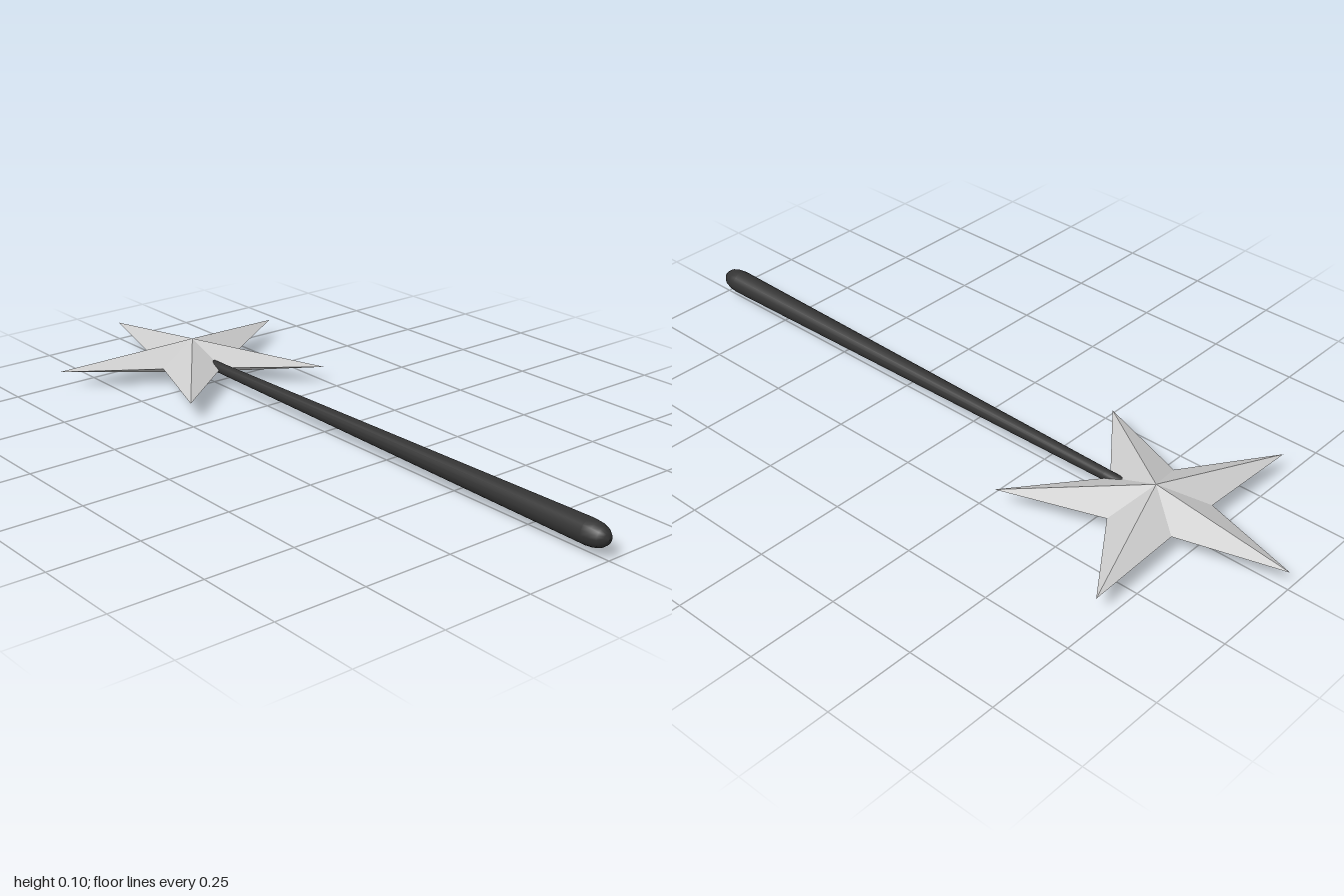
import * as THREE from 'three';

const MID_Y = 0.053;

// Faceted five-pointed star: a flat outline joined to an apex above and below
function starGeometry(points, outer, inner, halfHeight) {
  const n = points * 2;
  const rim = (i) => {
    const a = Math.PI + (i * Math.PI) / points;
    const r = i % 2 === 0 ? outer : inner;
    return [r * Math.cos(a), 0, -r * Math.sin(a)];
  };
  const positions = [];
  for (let i = 0; i < n; i++) {
    const a = rim(i), b = rim((i + 1) % n);
    positions.push(0, halfHeight, 0, ...a, ...b);
    positions.push(0, -halfHeight, 0, ...b, ...a);
  }
  const geometry = new THREE.BufferGeometry();
  geometry.setAttribute('position', new THREE.Float32BufferAttribute(positions, 3));
  geometry.computeVertexNormals();
  return geometry;
}

export function createModel() {
  const group = new THREE.Group();
  group.name = 'starWand';

  // Star head, one tip pointing away from the handle
  const star = new THREE.Mesh(
    starGeometry(5, 0.395, 0.14, 0.052),
    new THREE.MeshStandardMaterial({ color: 0xcccccc, flatShading: true })
  );
  star.name = 'star';
  star.position.set(-0.605, MID_Y, 0);
  group.add(star);

  // Tapered handle with a rounded thick end, starting inside the star
  const profile = [
    [0, -0.54], [0.014, -0.535], [0.015, -0.45], [0.033, 0.94],
    [0.031, 0.962], [0.025, 0.982], [0.015, 0.995], [0, 1.0],
  ].map(([r, x]) => new THREE.Vector2(r, x));
  const handle = new THREE.Mesh(
    new THREE.LatheGeometry(profile, 16),
    new THREE.MeshStandardMaterial({ color: 0x333333 })
  );
  handle.name = 'handle';
  handle.rotation.z = -Math.PI / 2;
  handle.position.set(0, MID_Y, 0.002);
  group.add(handle);

  return group;
}
